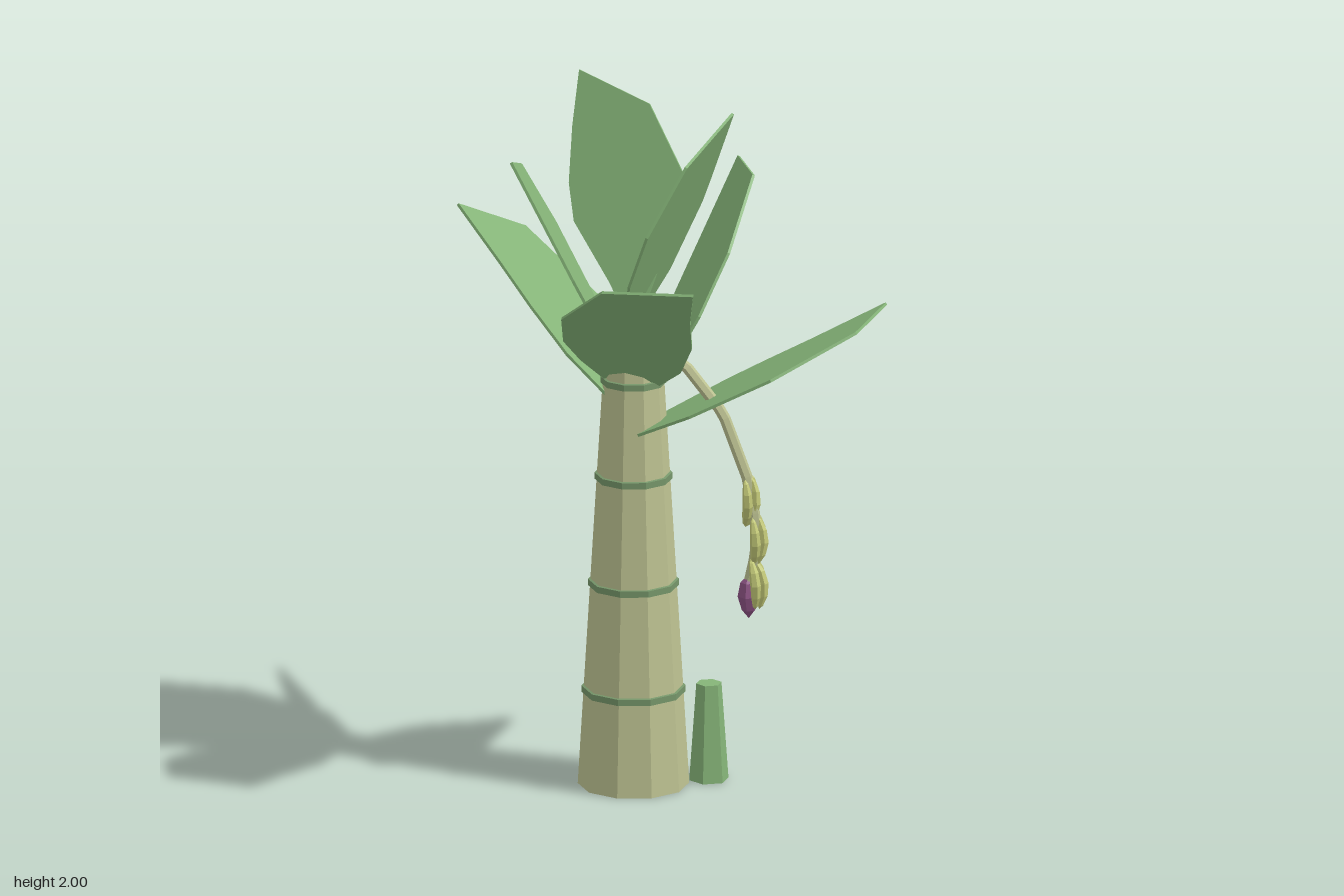
import * as THREE from 'three';

const mat = (color) => new THREE.MeshStandardMaterial({ color, flatShading: true });
const V = (x, y, z) => new THREE.Vector3(x, y, z);
const toVector2 = (points) => points.map(([a, b]) => new THREE.Vector2(a, b));

export function createModel() {
  const group = new THREE.Group();
  const trunkMat = mat(0xbcc191), ringMat = mat(0x76966a), leafMat = mat(0x85b478);
  const fruitMat = mat(0xc3c978), budMat = mat(0x8c5384);
  const CX = -0.04, CZ = 0.025, TOP = 1.39;

  const add = (name, geometry, material, x = 0, y = 0, z = 0) => {
    const mesh = new THREE.Mesh(geometry, material);
    mesh.name = name;
    mesh.position.set(x, y, z);
    group.add(mesh);
    return mesh;
  };

  // Tapered trunk with growth rings
  const trunkRadius = (y) => 0.155 - 0.059 * y;
  add('trunk', new THREE.CylinderGeometry(trunkRadius(TOP), trunkRadius(0), TOP, 10), trunkMat, CX, TOP / 2, CZ);
  for (const y of [0.275, 0.585, 0.895, 1.175]) {
    const r = trunkRadius(y);
    const profile = [[r - 0.01, -0.013], [r + 0.006, -0.009], [r + 0.006, 0.009], [r - 0.01, 0.013]];
    add('trunkRing', new THREE.LatheGeometry(toVector2(profile), 10), ringMat, CX, y, CZ);
  }

  // Young shoot beside the trunk
  add('shoot', new THREE.CylinderGeometry(0.036, 0.056, 0.28, 6), leafMat, 0.15, 0.14, -0.07);

  // A leaf is a thin flat plate: an outline placed on a plane with axes X and Y
  const plate = (name, outline, origin, X, Y) => {
    const thickness = 0.008;
    const geometry = new THREE.ExtrudeGeometry(new THREE.Shape(toVector2(outline)), {
      depth: thickness, bevelEnabled: false,
    });
    geometry.translate(0, 0, -thickness / 2);
    const N = X.clone().cross(Y).normalize();
    geometry.applyMatrix4(new THREE.Matrix4().makeBasis(X, Y, N).setPosition(origin));
    add(name, geometry, leafMat);
  };
  // Outline given as (x, z) on the plane y = a + b x + c z
  const leaf = (name, a, b, c, outline) =>
    plate(name, outline.map(([x, z]) => [x, -z]), V(0, a, 0), V(1, b, 0), V(0, -c, -1));

  leaf('leftLeaf', 1.04, 0.525, 0, [
    [-0.05, 0.04], [0, 0.11], [0.17, 0.183], [0.4, 0.16], [0.59, -0.03],
    [0.59, -0.32], [0.4, -0.25], [0.27, -0.22], [0.17, -0.185], [0.02, -0.08]]);
  leaf('rightLeaf', 1.037, -0.94, 0, [
    [-0.03, 0.03], [-0.11, 0.07], [-0.22, 0.07], [-0.34, 0.02], [-0.45, -0.04], [-0.592, -0.11],
    [-0.465, -0.333], [-0.26, -0.36], [-0.1, -0.24], [-0.06, -0.14], [-0.02, -0.03]]);
  leaf('frontLeaf', 1.127, 0, 0.89, [
    [-0.04, 0.02], [0.04, 0.05], [0.13, 0.13], [0.2, 0.255], [0.24, 0.4], [0.288, 0.53],
    [0.015, 0.505], [-0.15, 0.35], [-0.178, 0.24], [-0.155, 0.15], [-0.11, 0.06]]);
  leaf('backLeaf', 1.139, 1.648, -0.7, [
    [-0.04, 0.02], [-0.06, -0.14], [-0.05, -0.2], [-0.02, -0.32], [0.095, -0.535],
    [0.21, -0.3], [0.205, -0.08], [0.15, 0.02], [0.05, 0.05]]);
  leaf('frontRightLeaf', 1.066, -1.887, 0.687, [
    [-0.04, 0.02], [-0.04, 0.1], [-0.06, 0.17], [-0.15, 0.24], [-0.315, 0.29],
    [-0.36, 0.05], [-0.3, -0.08], [-0.2, -0.1], [-0.1, -0.05]]);
  leaf('frontLeftLeaf', 1.431, 2.28, 0.33, [
    [-0.04, 0.03], [-0.04, 0.1], [0, 0.2], [0.065, 0.243], [0.16, 0.18],
    [0.235, -0.02], [0.15, -0.08], [0.12, -0.097], [0.03, -0.085], [-0.02, -0.03]]);

  // The steepest leaf has its outline as (x, y) on the plane z = 0.503 + 0.0565 x - 0.327 y
  plate('topLeaf', [
    [-0.05, 1.36], [-0.11, 1.45], [-0.23, 1.6], [-0.255, 1.7], [-0.26, 1.85], [-0.255, 2],
    [-0.04, 1.93], [0.075, 1.76], [0.085, 1.66], [0.03, 1.5], [0, 1.4]],
  V(0, 0, 0.503), V(1, 0, 0.0565), V(0, 1, -0.327));

  // Hanging fruit stalk, made of straight pieces
  const stalk = new THREE.CurvePath();
  const bends = [V(-0.04, 1.3, CZ), V(0.11, 1.23, CZ), V(0.22, 1.1, CZ), V(0.29, 0.92, CZ),
    V(0.315, 0.8, CZ), V(0.315, 0.7, CZ), V(0.295, 0.61, CZ)];
  bends.slice(1).forEach((p, i) => stalk.add(new THREE.LineCurve3(bends[i], p)));
  add('fruitStalk', new THREE.TubeGeometry(stalk, 24, 0.016, 6), trunkMat);

  // Curved fruits in three tiers
  const fruitGeometry = new THREE.SphereGeometry(1, 6, 6).scale(0.015, 0.074, 0.015);
  const position = fruitGeometry.attributes.position;
  for (let i = 0; i < position.count; i++) {
    position.setX(i, position.getX(i) - 4 * position.getY(i) ** 2);
  }
  fruitGeometry.computeVertexNormals();
  for (const [x, y, tilt] of [[0.315, 0.845, 0.12], [0.338, 0.735, 0.05], [0.338, 0.615, -0.12]]) {
    for (const side of [-1, 0, 1]) {
      const fruit = add('fruit', fruitGeometry, fruitMat, x - 0.014 * Math.abs(side), y, CZ + side * 0.03);
      fruit.rotation.set(side * 0.12, -side * 0.9, -tilt);
    }
  }

  // Flower bud at the end of the stalk
  const bud = [[0, -0.065], [0.02, -0.04], [0.032, 0], [0.024, 0.04], [0, 0.065]];
  add('flowerBud', new THREE.LatheGeometry(toVector2(bud), 6), budMat, 0.295, 0.575, CZ);

  return group;
}
